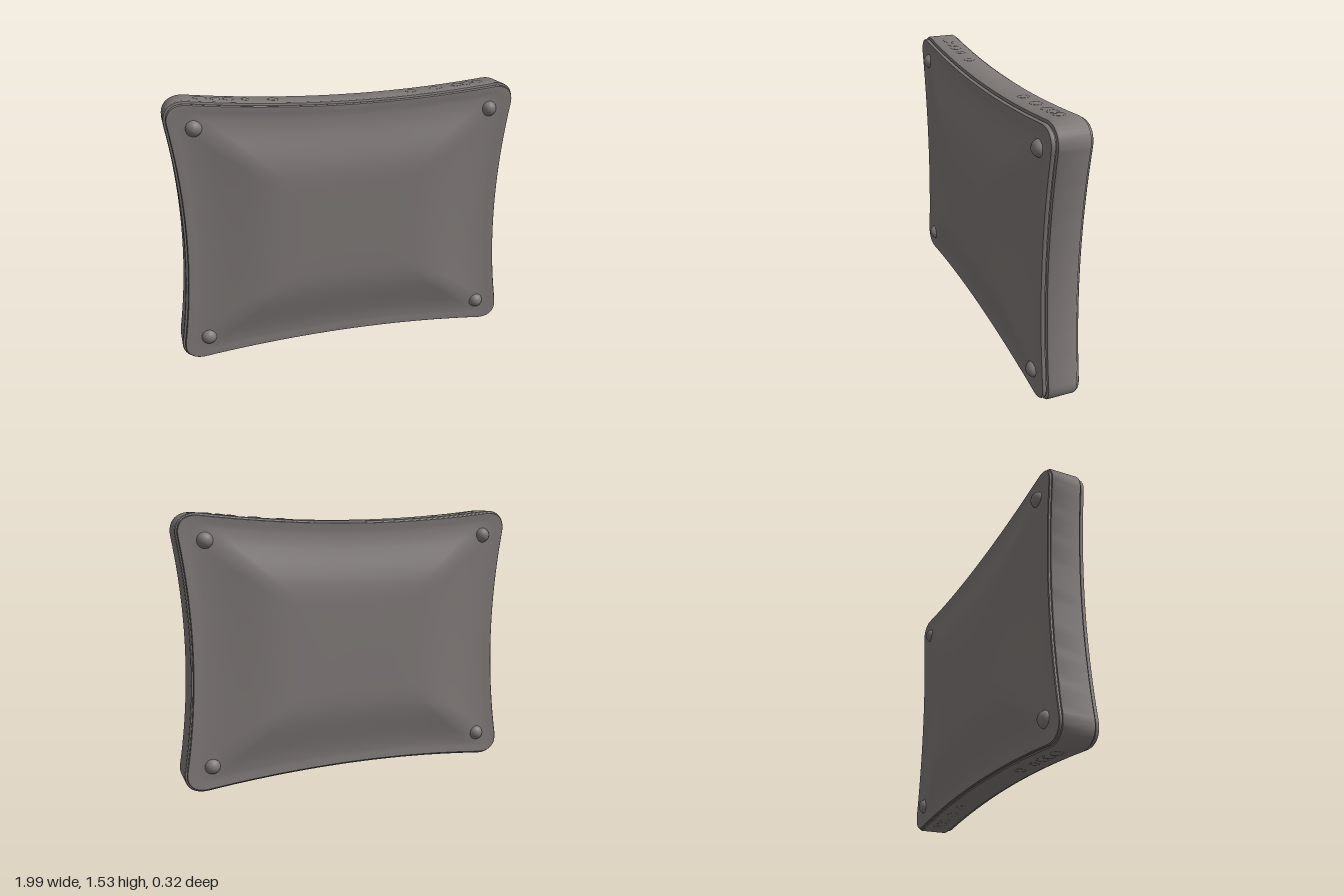
import * as THREE from 'three';
import { mergeVertices, toCreasedNormals } from 'three/addons/utils/BufferGeometryUtils.js';

const CENTRE_Y = 0.768;

// Pillow-shaped outline: concave edges and rounded corners, anticlockwise from +z
function outlinePoints() {
  const path = new THREE.Path();
  path.moveTo(0.994, -0.64);
  path.quadraticCurveTo(0.886, 0, 0.994, 0.64);
  path.bezierCurveTo(1.008, 0.725, 0.95, 0.777, 0.86, 0.765);
  path.quadraticCurveTo(0, 0.669, -0.86, 0.765);
  path.bezierCurveTo(-0.95, 0.777, -1.008, 0.725, -0.994, 0.64);
  path.quadraticCurveTo(-0.886, 0, -0.994, -0.64);
  path.bezierCurveTo(-1.008, -0.725, -0.95, -0.777, -0.86, -0.765);
  path.quadraticCurveTo(0, -0.669, 0.86, -0.765);
  path.bezierCurveTo(0.95, -0.777, 1.008, -0.725, 0.994, -0.64);
  const pts = path.getPoints(24).filter((p, i, a) => i === 0 || p.distanceTo(a[i - 1]) > 1e-4);
  if (pts[0].distanceTo(pts[pts.length - 1]) < 1e-4) pts.pop();
  return pts;
}

// Joins rings of [scale, inset, z] into one closed skin
function loft(rings) {
  const pts = outlinePoints(), n = pts.length;
  const normals = pts.map((p, i) => {
    const t = pts[(i + 1) % n].clone().sub(pts[(i + n - 1) % n]).normalize();
    return new THREE.Vector2(t.y, -t.x);
  });
  const pos = [], index = [];
  for (const [s, d, z] of rings) {
    pts.forEach((p, i) => pos.push((p.x - normals[i].x * d) * s, (p.y - normals[i].y * d) * s, z));
  }
  const last = rings.length - 2;
  for (let r = 0; r <= last; r++) {
    for (let i = 0; i < n; i++) {
      const a = r * n + i, b = r * n + (i + 1) % n;
      if (r > 0) index.push(a, b, b + n);
      if (r < last) index.push(a, b + n, a + n);
      else if (r === last) index.push(a, b, a + n);
      if (r === 0) index.push(a, b + n, a + n);
    }
  }
  const g = new THREE.BufferGeometry();
  g.setAttribute('position', new THREE.Float32BufferAttribute(pos, 3));
  g.setIndex(index);
  return toCreasedNormals(mergeVertices(g), 0.6);
}

export function createModel() {
  const model = new THREE.Group();
  const stone = new THREE.MeshStandardMaterial({ color: 0x7f7977 });
  stone.name = 'warm grey';

  // Swelling of each face, from the centre to the rim
  const swell = [
    [0, 0.16], [0.2, 0.16], [0.36, 0.16], [0.43, 0.159], [0.5, 0.156], [0.56, 0.15], [0.62, 0.142],
    [0.68, 0.132], [0.74, 0.122], [0.8, 0.112], [0.86, 0.104], [0.92, 0.1], [0.96, 0.099],
  ];
  const rings = [
    ...swell.map(([s, z]) => [s, 0.022, -z]),
    // back edge with a small step
    [1, 0.022, -0.104], [1, 0.015, -0.104], [1, 0.011, -0.1], [1, 0.011, -0.091],
    [1, 0.004, -0.089], [1, 0, -0.083],
    // side band
    [1, 0, 0.068], [1, 0.004, 0.075], [1, 0.012, 0.078],
    // front groove and lip
    [1, 0.021, 0.077], [1, 0.021, 0.081], [1, 0.014, 0.084], [1, 0.014, 0.097],
    [1, 0.018, 0.103], [1, 0.026, 0.104],
    ...swell.slice().reverse().map(([s, z]) => [s, 0.026, z]),
  ];
  const body = new THREE.Mesh(loft(rings), stone);
  body.name = 'cushionBody';
  body.position.y = CENTRE_Y;
  model.add(body);

  // Domed rivets at the corners of both faces
  const rivetGeo = new THREE.SphereGeometry(0.045, 24, 16);
  for (const sx of [-1, 1]) for (const sy of [-1, 1]) for (const sz of [-1, 1]) {
    const rivet = new THREE.Mesh(rivetGeo, stone);
    rivet.name = 'cornerRivet';
    rivet.position.set(sx * 0.842, CENTRE_Y + sy * 0.622, sz * 0.092);
    model.add(rivet);
  }

  // Shallow worn bumps along the top and bottom edges: [x, half length]
  const bumps = [[-0.79, 0.04], [-0.71, 0.03], [-0.64, 0.03], [-0.55, 0.02], [-0.4, 0.03],
    [0.4, 0.03], [0.55, 0.04], [0.68, 0.03], [0.74, 0.03], [0.81, 0.03]];
  const bumpGeo = new THREE.SphereGeometry(1, 16, 10);
  for (const side of [-1, 1]) for (const [x, half] of bumps) {
    const bump = new THREE.Mesh(bumpGeo, stone);
    bump.name = 'edgeBump';
    bump.scale.set(half, 0.005, 0.032);
    bump.position.set(x, CENTRE_Y + side * (0.717 + 0.048 * (x / 0.86) ** 2), -0.015);
    bump.rotation.z = side * Math.atan(0.13 * x);
    model.add(bump);
  }
  return model;
}
